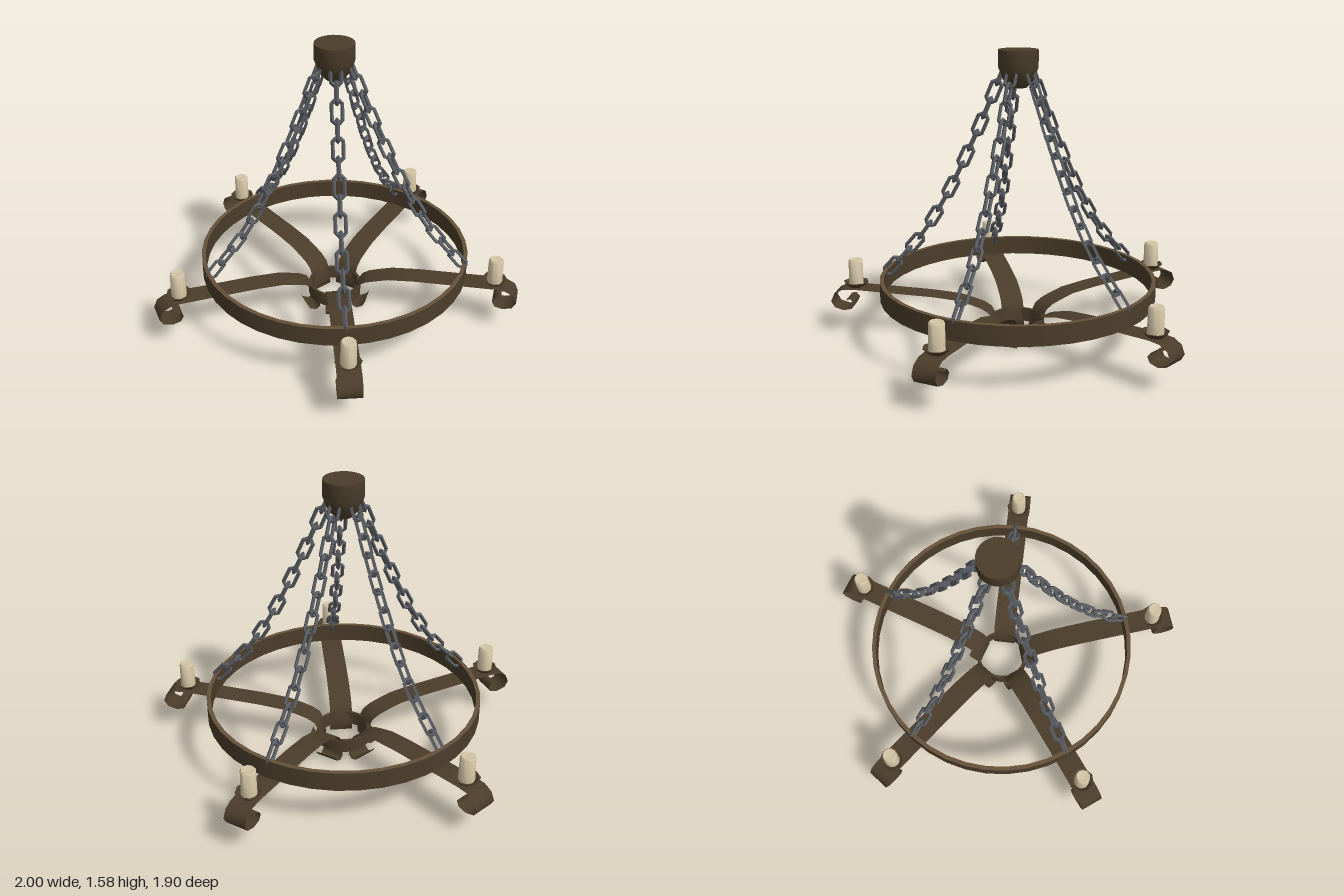
import * as THREE from 'three';
import { toCreasedNormals } from 'three/addons/utils/BufferGeometryUtils.js';

const ARMS = 5;

// Lathe from [radius, y] pairs listed bottom to top on the outside
function lathe(points, segments, crease = 0.7) {
  const g = new THREE.LatheGeometry(points.map(([r, y]) => new THREE.Vector2(r, y)), segments);
  return toCreasedNormals(g, crease);
}

// Rectangular-section hoop
function hoop(inner, outer, y0, y1, segments) {
  return lathe([[outer, y0], [outer, y1], [inner, y1], [inner, y0], [outer, y0]], segments);
}

// Flat strip of constant width following [radius, y] points
function strip(points, width) {
  const g = new THREE.PlaneGeometry(width, 1, 1, points.length - 1);
  const p = g.attributes.position;
  for (let i = 0; i < p.count; i++) {
    const [r, y] = points[Math.floor(i / 2)];
    p.setXYZ(i, p.getX(i), y, r);
  }
  g.computeVertexNormals();
  return g;
}

// Long eight-sided link, faceted
function linkGeometry() {
  const g = new THREE.TorusGeometry(0.029, 0.0105, 4, 8);
  g.rotateZ(Math.PI / 8);
  const p = g.attributes.position;
  for (let i = 0; i < p.count; i++) p.setY(i, p.getY(i) + Math.sign(p.getY(i)) * 0.03);
  const flat = g.toNonIndexed();
  flat.computeVertexNormals();
  return flat;
}

export function createModel() {
  const iron = new THREE.MeshStandardMaterial({ color: 0x4b3d2a, side: THREE.DoubleSide });
  iron.name = 'dark bronze';
  const edge = new THREE.MeshStandardMaterial({ color: 0x66523b });
  edge.name = 'worn bronze';
  const steel = new THREE.MeshStandardMaterial({ color: 0x585b60 });
  steel.name = 'grey steel';
  const wax = new THREE.MeshStandardMaterial({ color: 0xd3c4a5 });
  wax.name = 'cream wax';

  const model = new THREE.Group();
  model.name = 'chandelier';
  const body = new THREE.Group();
  body.name = 'body';
  body.position.z = -0.08;
  model.add(body);

  const add = (parent, name, geometry, material) => {
    const mesh = new THREE.Mesh(geometry, material);
    mesh.name = name;
    parent.add(mesh);
    return mesh;
  };

  // Ceiling cap with rounded underside
  add(body, 'ceilingCap', lathe([
    [0, 1.38], [0.045, 1.385], [0.08, 1.425], [0.105, 1.49], [0.105, 1.58], [0, 1.58],
  ], 20), iron);

  // Large hoop with a worn upper edge, and the small hub band
  add(body, 'hoop', hoop(0.72, 0.742, 0.262, 0.365, 40), iron);
  const rim = new THREE.RingGeometry(0.72, 0.742, 40);
  rim.rotateX(-Math.PI / 2).translate(0, 0.3665, 0);
  add(body, 'hoopRim', rim, edge);
  add(body, 'hubBand', hoop(0.132, 0.148, 0.052, 0.127, 24), iron);

  // Shared shapes for the arms
  const armShape = strip([
    [0.19, 0.045], [0.175, 0.02], [0.14, 0.003], [0.115, 0.02], [0.117, 0.06],
    [0.125, 0.115], [0.15, 0.16], [0.19, 0.185], [0.24, 0.202], [0.32, 0.225],
    [0.47, 0.24], [0.9, 0.262], [0.965, 0.258], [1.01, 0.235], [1.03, 0.19],
    [1.01, 0.155], [0.96, 0.14], [0.915, 0.15], [0.9, 0.18], [0.92, 0.205], [0.945, 0.2],
  ], 0.125);
  const panShape = lathe([
    [0, 0.264], [0.04, 0.264], [0.07, 0.292], [0.062, 0.292], [0.04, 0.278], [0, 0.278],
  ], 8, 0.4);
  const candleShape = lathe([[0, 0.278], [0.042, 0.278], [0.04, 0.412], [0.034, 0.42], [0, 0.414]], 10);
  const linkShape = linkGeometry();

  // Chain path, sagging from the cap to the hoop
  const path = new THREE.CatmullRomCurve3([
    [0.09, 1.45], [0.14, 1.33], [0.23, 1.12], [0.385, 0.8], [0.53, 0.57], [0.69, 0.39],
  ].map(([r, y]) => new THREE.Vector3(0, y, r)));
  const LINKS = 14;
  const up = new THREE.Vector3(0, 1, 0);
  const quarter = new THREE.Quaternion().setFromAxisAngle(up, Math.PI / 2);

  for (let a = 0; a < ARMS; a++) {
    const branch = new THREE.Group();
    branch.name = 'branch' + (a + 1);
    branch.rotation.y = (a / ARMS) * Math.PI * 2;
    body.add(branch);

    add(branch, 'scrollArm', armShape, iron);
    add(branch, 'dripPan', panShape, iron).position.z = 0.9;
    add(branch, 'candle', candleShape, wax).position.z = 0.9;

    // Alternating links along the path
    const chain = new THREE.Group();
    chain.name = 'chain';
    branch.add(chain);
    for (let i = 0; i < LINKS; i++) {
      const t = i / (LINKS - 1);
      const link = add(chain, 'link', linkShape, steel);
      link.position.copy(path.getPointAt(t));
      link.quaternion.setFromUnitVectors(up, path.getTangentAt(t).negate());
      if (i % 2) link.quaternion.multiply(quarter);
    }
  }
  return model;
}
